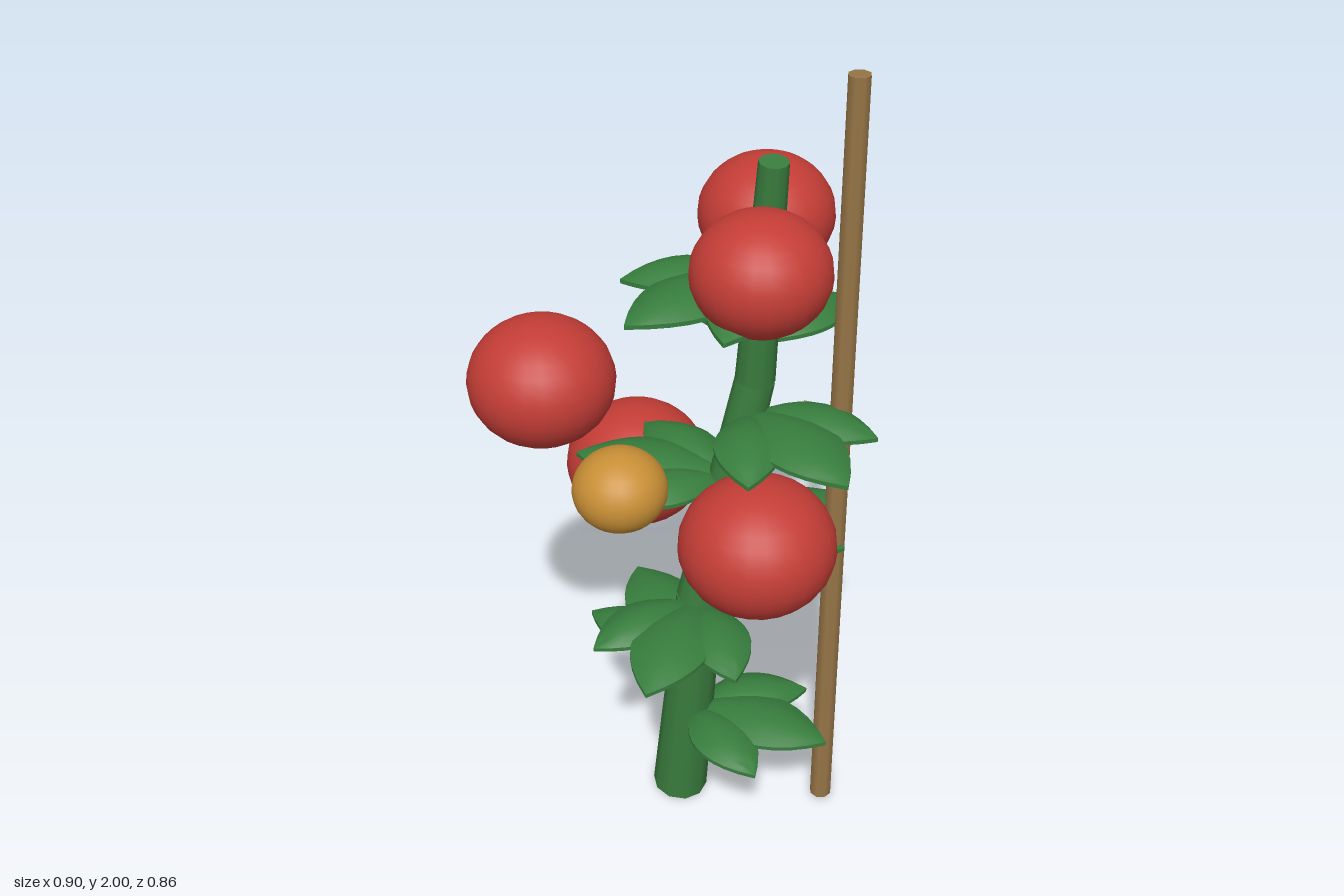
import * as THREE from 'three';
import { toCreasedNormals } from 'three/addons/utils/BufferGeometryUtils.js';

const V = (x, y, z) => new THREE.Vector3(x, y, z);

function material(name, color) {
  const m = new THREE.MeshStandardMaterial({ color });
  m.name = name;
  return m;
}

// Tapered cylinder running from a to b
function rod(a, b, ra, rb, sides, mat, name) {
  const mesh = new THREE.Mesh(new THREE.CylinderGeometry(rb, ra, a.distanceTo(b), sides), mat);
  mesh.position.copy(a).lerp(b, 0.5);
  mesh.quaternion.setFromUnitVectors(V(0, 1, 0), b.clone().sub(a).normalize());
  mesh.name = name;
  return mesh;
}

// Thin pointed leaf blade along +x, arched lengthwise and drooping at its edges
function leafGeometry(length, halfWidth) {
  const geo = new THREE.BoxGeometry(1, 0.01, 2, 10, 1, 6);
  const p = geo.attributes.position;
  for (let i = 0; i < p.count; i++) {
    const t = p.getX(i) + 0.5;
    const s = p.getZ(i);
    const bulge = 4 * t * (1 - t);
    p.setXYZ(i,
      0.02 + t * length,
      p.getY(i) + 0.04 * bulge - 0.03 * s * s * bulge,
      s * (halfWidth * bulge + 0.001));
  }
  return toCreasedNormals(geo, 0.7);
}

export function createModel() {
  const plant = new THREE.Group();
  plant.name = 'stakedFruitPlant';

  const stemGreen = material('stem green', 0x3a7d3e);
  const leafGreen = material('leaf green', 0x377d3d);
  const ripeRed = material('ripe red', 0xc43d36);
  const unripeOrange = material('unripe orange', 0xc98f36);
  const wood = material('stake wood', 0x967547);
  const tieBeige = material('tie beige', 0xa89a7d);

  // Stem in three slightly bent, tapering sections
  const joints = [V(-0.02, 0.006, 0.03), V(0.045, 0.66, 0.052), V(0.15, 1.27, -0.015), V(0.193, 1.82, 0.015)];
  const radii = [0.07, 0.057, 0.046, 0.033];
  for (let i = 0; i < 3; i++) {
    plant.add(rod(joints[i], joints[i + 1], radii[i], radii[i + 1], 10, stemGreen, 'stemSection' + (i + 1)));
  }
  const stemAt = (y) => {
    const i = y < joints[1].y ? 0 : y < joints[2].y ? 1 : 2;
    const t = (y - joints[i].y) / (joints[i + 1].y - joints[i].y);
    return joints[i].clone().lerp(joints[i + 1], t);
  };

  // Leaves spiral up the stem by the golden angle, three leaflets each
  const mainLeaf = leafGeometry(0.355, 0.093);
  const sideLeaf = leafGeometry(0.29, 0.075);
  for (let i = 0; i < 8; i++) {
    const leaf = new THREE.Group();
    leaf.name = 'leaf' + (i + 1);
    leaf.position.copy(stemAt(0.295 + 0.179 * i));
    leaf.rotation.y = THREE.MathUtils.degToRad(137.5 * i);
    for (const side of [-1, 0, 1]) {
      const leaflet = new THREE.Mesh(side ? sideLeaf : mainLeaf, leafGreen);
      leaflet.name = side ? 'sideLeaflet' : 'mainLeaflet';
      leaflet.rotation.y = side * 0.6;
      leaflet.position.y = side ? -0.006 : 0;
      leaf.add(leaflet);
    }
    plant.add(leaf);
  }

  // Slightly flattened fruits: x, y, z, radius
  const fruitGeo = new THREE.SphereGeometry(1, 24, 16);
  const fruits = [
    [-0.241, 0.828, -0.198, 0.178],
    [0.265, 1.01, 0.237, 0.177],
    [-0.278, 1.28, 0.2, 0.168],
    [0.067, 1.552, -0.27, 0.159],
    [0.229, 1.64, 0.162, 0.15],
    [-0.025, 1.135, 0.326, 0.106],
  ];
  fruits.forEach(([x, y, z, r], i) => {
    const ripe = i < 5;
    const fruit = new THREE.Mesh(fruitGeo, ripe ? ripeRed : unripeOrange);
    fruit.name = ripe ? 'ripeFruit' + (i + 1) : 'unripeFruit';
    fruit.position.set(x, y, z);
    fruit.scale.set(r, r * 0.88, r);
    plant.add(fruit);
  });

  // Support stake and the tie holding the stem to it
  plant.add(rod(V(0.338, 0.015, -0.074), V(0.338, 2, -0.074), 0.028, 0.025, 8, wood, 'stake'));
  const tie = new THREE.Mesh(new THREE.BoxGeometry(0.11, 0.07, 0.185), tieBeige);
  tie.name = 'tie';
  tie.position.set(0.285, 1.136, -0.032);
  plant.add(tie);

  return plant;
}
